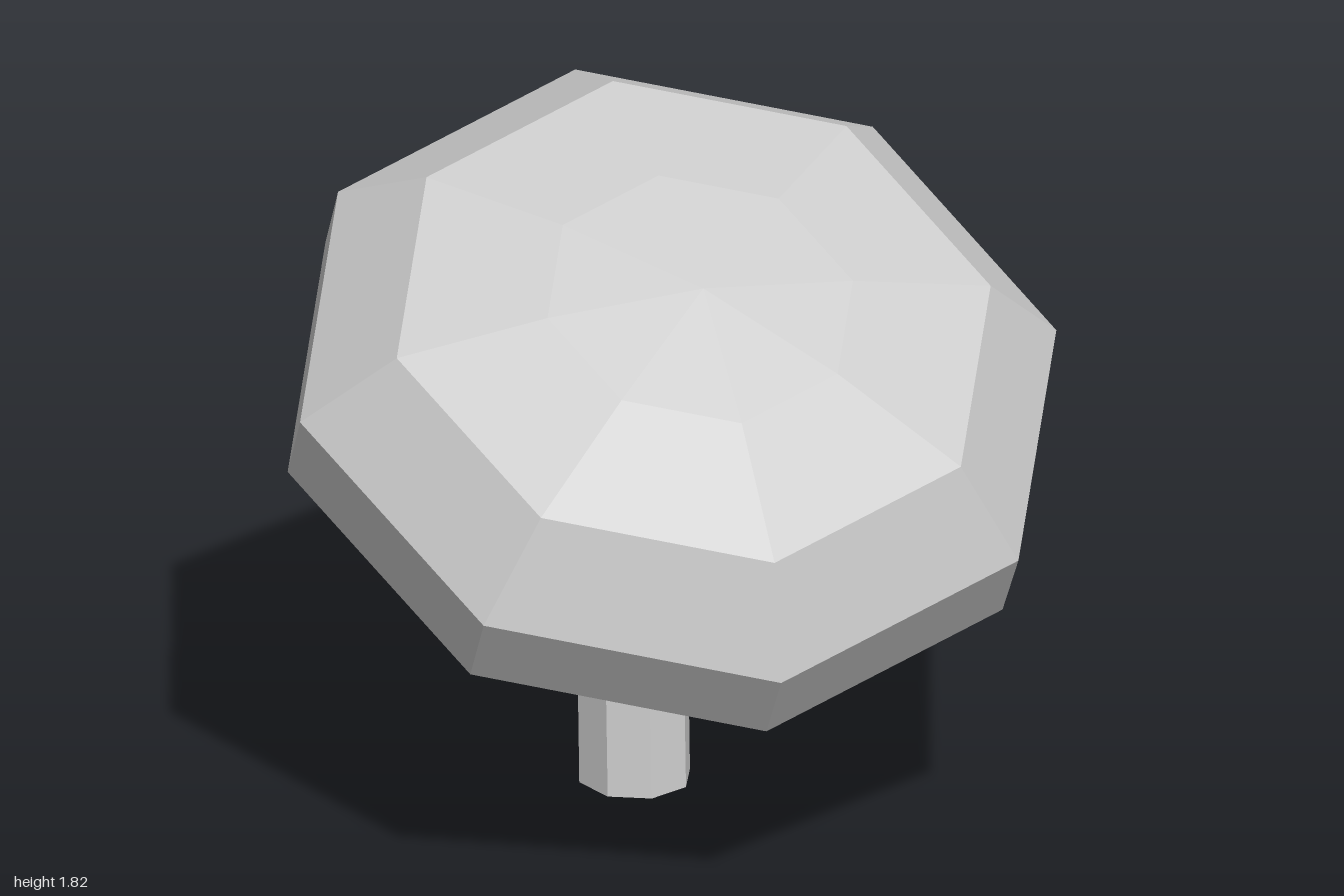
import * as THREE from 'three';

const SIDES = 8;

export function createModel() {
  const group = new THREE.Group();
  group.name = 'mushroom';
  const material = new THREE.MeshStandardMaterial({
    color: 0xcccccc, flatShading: true, side: THREE.DoubleSide,
  });

  // Cap: closed profile [radius, height] from the hollow's ceiling, round the rim, to the crown
  const profile = [
    [0, 0.2], [0.36, 0.12], [0.61, -0.07], [0.645, -0.269],
    [0.94, -0.269], [1.02, -0.19], [1.025, 0], [0.805, 0.207], [0.414, 0.293], [0, 0.335],
  ].map(([r, y]) => new THREE.Vector2(r, y));
  const capGeometry = new THREE.LatheGeometry(profile, SIDES);

  // Tilt the cap forward and to its left, leaning its axis a little further than its rings
  const tilt = new THREE.Matrix4().makeBasis(
    new THREE.Vector3(0.617, -0.488, 0.617),
    new THREE.Vector3(0.46, 1, 0.46),
    new THREE.Vector3(-0.707, 0, 0.707),
  ).setPosition(0.044, 1.2275, 0.039);
  capGeometry.applyMatrix4(tilt);
  const cap = new THREE.Mesh(capGeometry, material);
  cap.name = 'cap';
  group.add(cap);

  // Stem: open tube whose rings, top to bottom, follow a bent path [x, y, z, slope]
  const path = [
    [0.1, 1.36, 0.13, 0.4],
    [-0.12, 0.76, -0.07, 0.35],
    [-0.178, 0.405, -0.13, 0.25],
    [-0.163, 0.008, -0.113, 0.02],
  ];
  const stemGeometry = new THREE.CylinderGeometry(0.15, 0.15, 1, SIDES, path.length - 1, true);
  const pos = stemGeometry.attributes.position;
  for (let i = 0; i < pos.count; i++) {
    const [cx, cy, cz, slope] = path[Math.floor(i / (SIDES + 1))];
    const dx = pos.getX(i), dz = pos.getZ(i);
    pos.setXYZ(i, cx + dx, cy - slope * (dx + dz), cz + dz);
  }
  stemGeometry.computeVertexNormals();
  const stem = new THREE.Mesh(stemGeometry, material);
  stem.name = 'stem';
  group.add(stem);

  return group;
}
